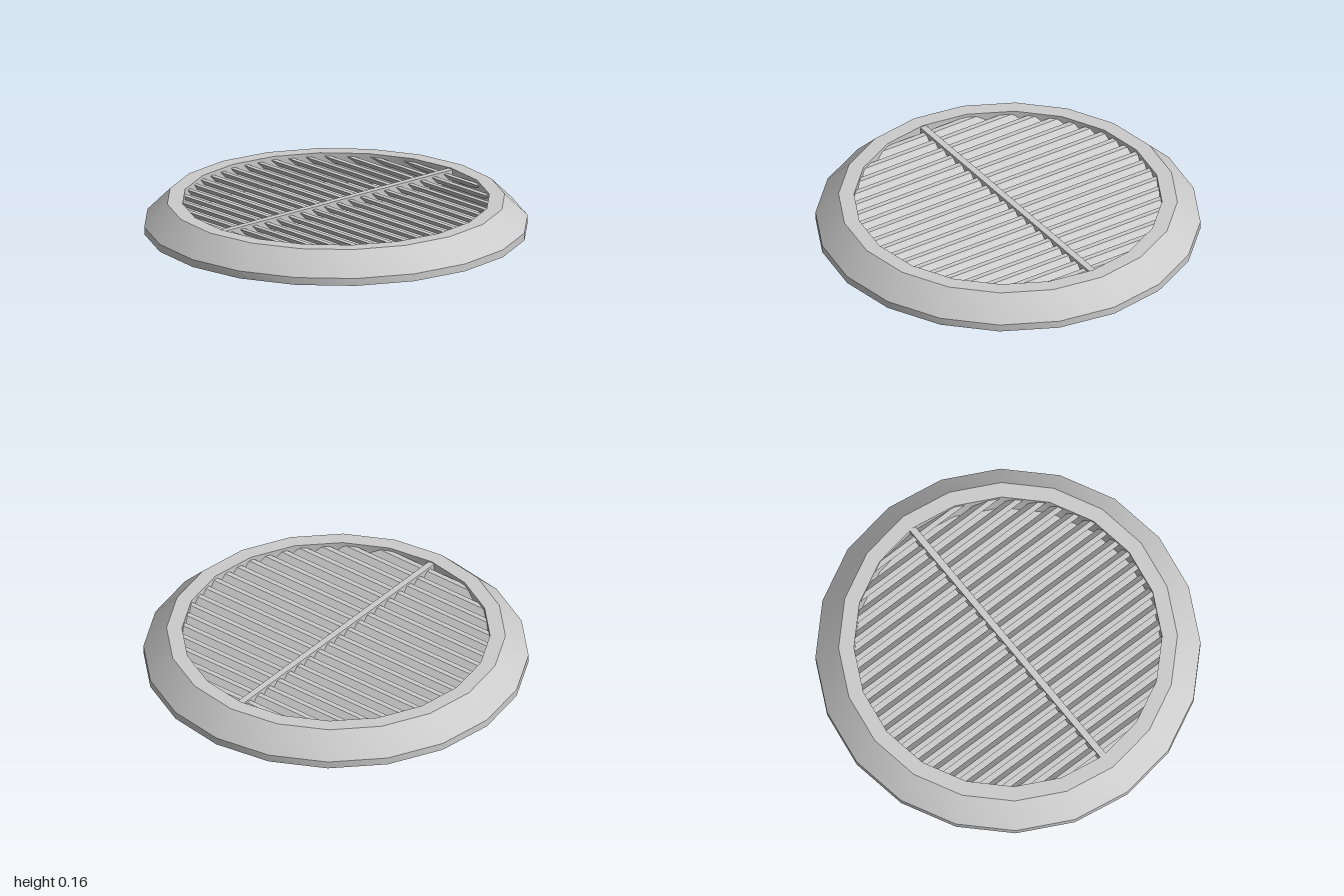
import * as THREE from 'three';
import { toCreasedNormals } from 'three/addons/utils/BufferGeometryUtils.js';

const SIDES = 20;
const TOP = 0.142;       // height of the slat tops
const DROP = 0.036;      // how far each slat leans down and back
const FLAT = 0.028;      // flat width of each slat top
const PITCH = 0.0835;

export function createModel() {
  const group = new THREE.Group();
  const material = new THREE.MeshStandardMaterial({ color: 0xcccccc });
  const thin = new THREE.MeshStandardMaterial({ color: 0xcccccc, side: THREE.DoubleSide });

  const add = (name, geometry, mat = material, parent = group) => {
    const mesh = new THREE.Mesh(geometry, mat);
    mesh.name = name;
    parent.add(mesh);
    return mesh;
  };

  // Bevelled rim, smooth around and sharp across its profile
  const profile = [[1, 0], [1, 0.04], [0.88, 0.16], [0.8, 0.16], [0.8, 0]]
    .map(([r, y]) => new THREE.Vector2(r, y));
  add('rim', toCreasedNormals(new THREE.LatheGeometry(profile, SIDES), 0.6));

  // Closed underside
  add('backPlate', new THREE.CircleGeometry(1, SIDES).rotateX(Math.PI / 2), thin);

  // Slanted slats, trimmed to the round opening with ends sunk into the rim
  const slats = new THREE.Group();
  slats.name = 'slats';
  group.add(slats);
  for (let k = -10; k <= 8; k++) {
    const back = 0.035 + k * PITCH;
    const mid = back + (DROP + FLAT) / 2;
    const length = 2 * Math.sqrt(0.83 ** 2 - mid ** 2);
    const section = new THREE.Shape([
      new THREE.Vector2(back, TOP - DROP),
      new THREE.Vector2(back + FLAT, TOP - DROP),
      new THREE.Vector2(back + FLAT + DROP, TOP),
      new THREE.Vector2(back + DROP, TOP),
    ]);
    const slat = new THREE.ExtrudeGeometry(section, { depth: length, bevelEnabled: false })
      .translate(0, 0, -length / 2)
      .rotateY(-Math.PI / 2);
    add('slat', slat, material, slats);
  }

  // Central bar from front to back
  add('centreBar', new THREE.BoxGeometry(0.036, 0.07, 1.62)).position.y = 0.12;

  return group;
}
